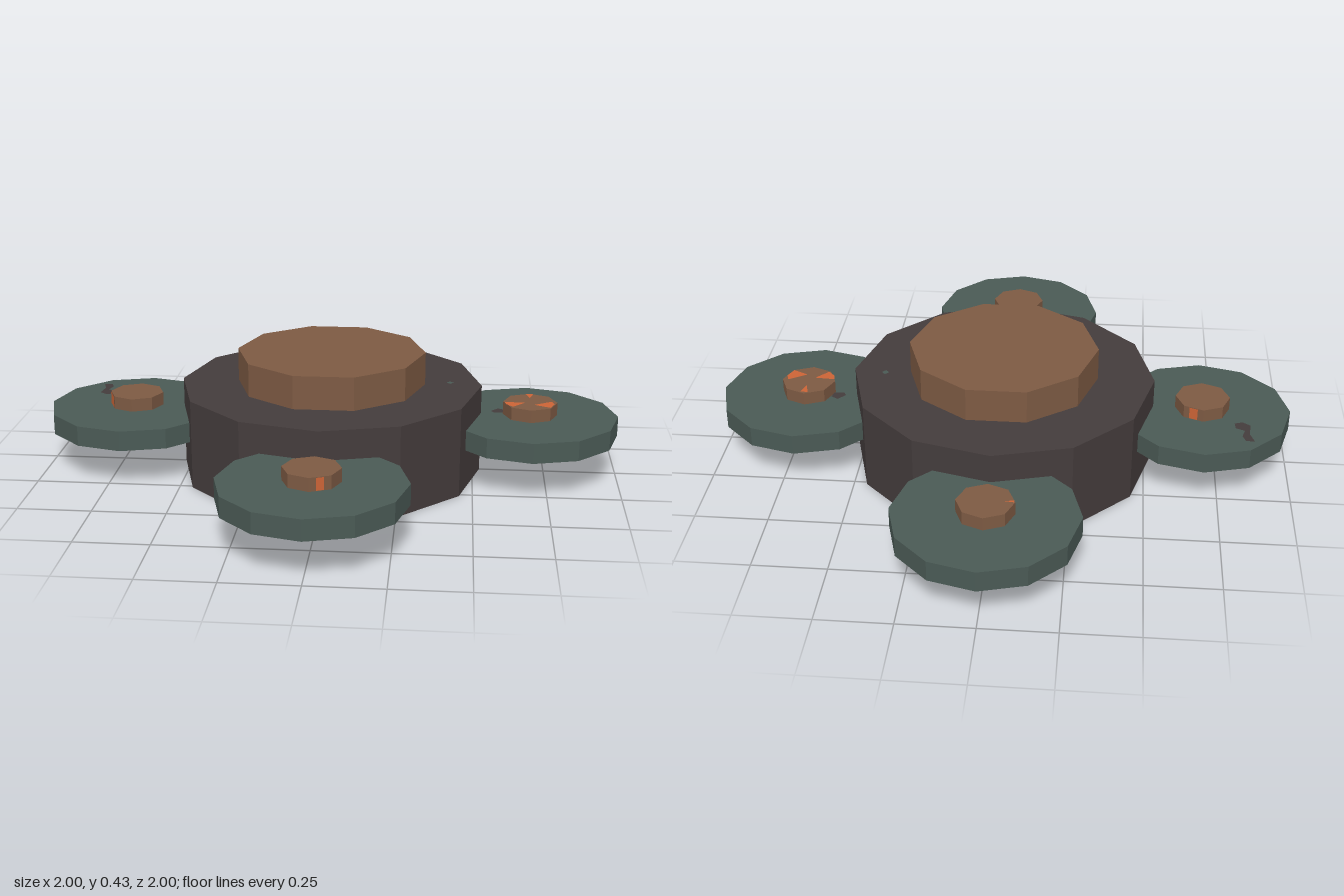
import * as THREE from 'three';

const material = (name, color) => {
  const m = new THREE.MeshStandardMaterial({ color });
  m.name = name;
  return m;
};

export function createModel() {
  const model = new THREE.Group();
  model.name = 'model';
  const charcoal = material('charcoal', 0x443c3c);
  const green = material('dull green', 0x4a5a55);
  const brown = material('brown', 0x7d5a43);
  const orange = material('orange', 0xcc6436);
  const tan = material('tan', 0xc0b08a);

  const add = (parent, name, geometry, mat, x = 0, y = 0, z = 0) => {
    const mesh = new THREE.Mesh(geometry, mat);
    mesh.name = name;
    mesh.position.set(x, y, z);
    parent.add(mesh);
    return mesh;
  };

  // Faceted upright disc from y0 to y1; a turn sets where its corners lie
  const disc = (parent, name, r, sides, y0, y1, mat, turn = 0, x = 0, z = 0) => {
    const g = new THREE.CylinderGeometry(r, r, y1 - y0, sides).toNonIndexed();
    g.rotateY(turn);
    g.computeVertexNormals();
    return add(parent, name, g, mat, x, (y0 + y1) / 2, z);
  };

  // Flat patch lying on a top surface, outlined in x and z
  const patch = (parent, name, points, mat, x, y, z) => {
    const shape = new THREE.Shape(points.map(([px, pz]) => new THREE.Vector2(px, -pz)));
    return add(parent, name, new THREE.ShapeGeometry(shape).rotateX(-Math.PI / 2), mat, x, y + 0.002, z);
  };

  // Central drum and its cap
  disc(model, 'body', 0.525, 12, 0, 0.31, charcoal);
  disc(model, 'cap', 0.328, 10, 0.31, 0.425, brown, Math.PI / 2);

  // Four pads, each with a knob above and a plate below
  const names = ['frontPad', 'leftPad', 'backPad', 'rightPad'];
  const pads = names.map((name, i) => {
    const a = (i * Math.PI) / 2;
    const pad = new THREE.Group();
    pad.name = name;
    pad.position.set(Math.sin(a) * 0.695, 0, Math.cos(a) * 0.695);
    model.add(pad);
    disc(pad, 'disc', 0.305, 12, 0.14, 0.21, green);
    disc(pad, 'knob', 0.094, 8, 0.21, 0.255, brown);
    const plate = add(pad, 'plate', new THREE.BoxGeometry(0.18, 0.03, 0.28), tan, -Math.sin(a) * 0.055, 0.125, -Math.cos(a) * 0.055);
    plate.rotation.y = a;
    return pad;
  });
  const [front, left, back, right] = pads;

  // Orange wear on the knobs
  [
    [[0, -0.04], [-0.013, -0.086], [0.014, -0.086]],
    [[-0.09, 0.01], [-0.02, 0.015], [-0.062, 0.062], [-0.085, 0.035]],
    [[0.012, 0.035], [0.075, -0.005], [0.082, 0.025], [0.066, 0.063]],
  ].forEach((p) => patch(left, 'knobWear', p, orange, 0, 0.255, 0));
  patch(back, 'knobWear', [[-0.09, -0.004], [-0.06, 0], [-0.09, 0.007]], orange, 0, 0.255, 0);
  const sideWear = (pad, degrees, width) => {
    const a = THREE.MathUtils.degToRad(degrees);
    const strip = add(pad, 'knobSideWear', new THREE.PlaneGeometry(width, 0.042), orange, Math.sin(a) * 0.0885, 0.2325, Math.cos(a) * 0.0885);
    strip.rotation.y = a;
  };
  sideWear(front, 22.5, 0.026);
  sideWear(right, -67.5, 0.06);
  sideWear(right, 157.5, 0.03);

  // Dark stains on the pads
  patch(right, 'stain', [
    [-0.17, -0.21], [-0.14, -0.21], [-0.13, -0.18], [-0.14, -0.145], [-0.11, -0.13],
    [-0.108, -0.1], [-0.135, -0.09], [-0.162, -0.11], [-0.155, -0.165],
  ], charcoal, 0, 0.21, 0);
  patch(left, 'stain', [[-0.135, -0.02], [-0.11, -0.05], [-0.085, -0.035], [-0.09, -0.005], [-0.125, -0.005]], charcoal, 0, 0.21, 0);

  // Green speck on the drum
  patch(model, 'speck', [[-0.013, 0], [0, -0.014], [0.013, 0], [0, 0.014]], green, 0.415, 0.31, -0.02);

  return model;
}
